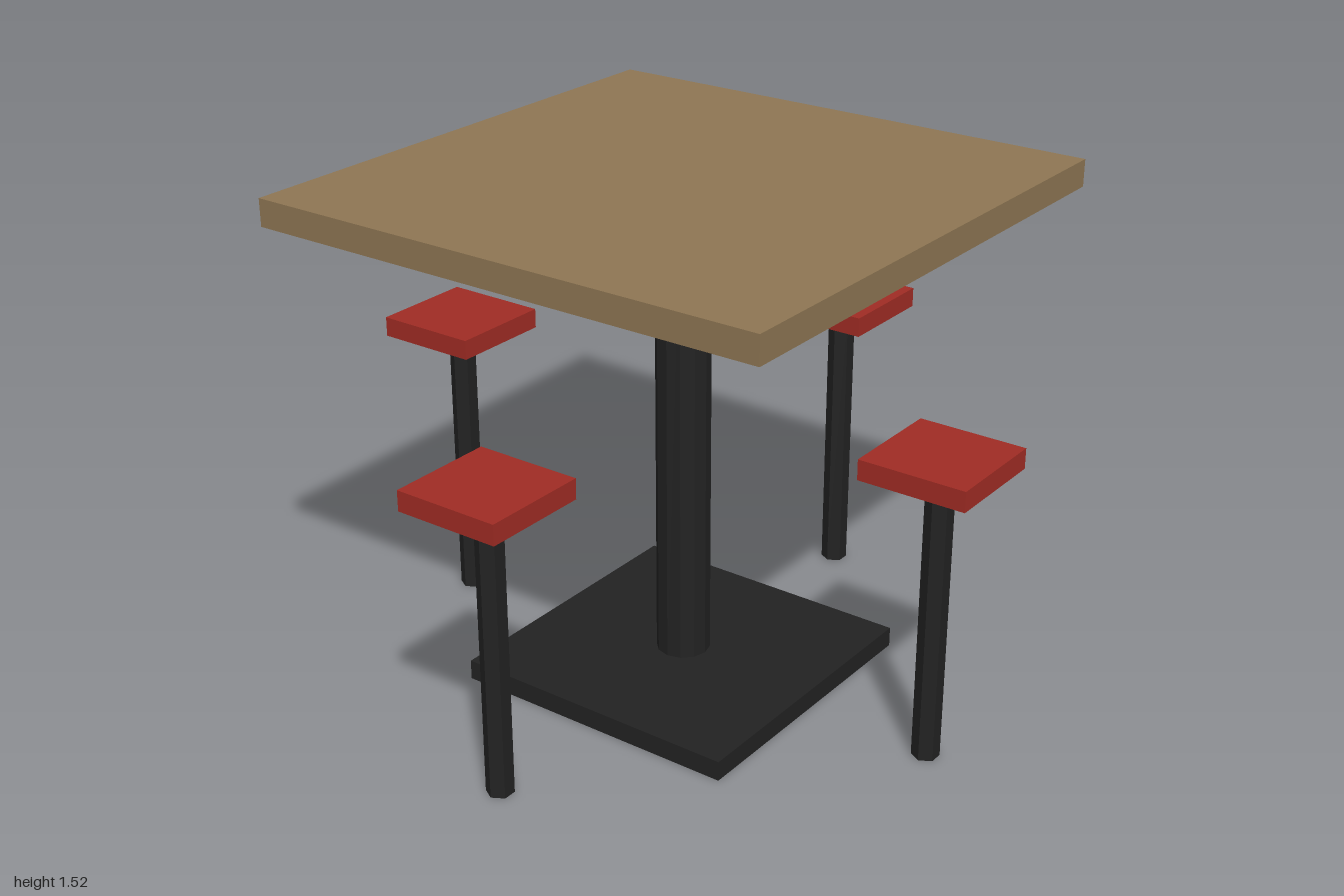
import * as THREE from 'three';

const mat = (name, color, flatShading = false) => {
  const m = new THREE.MeshStandardMaterial({ color, flatShading });
  m.name = name;
  return m;
};

export function createModel() {
  const wood = mat('wood', 0x8e7653);
  const red = mat('seat red', 0xa02c24);
  const metal = mat('black metal', 0x222222, true);
  const model = new THREE.Group();
  model.name = 'tableWithStools';

  // Adds a mesh whose underside sits at height y
  const add = (parent, name, geometry, material, height, y) => {
    const mesh = new THREE.Mesh(geometry, material);
    mesh.name = name;
    mesh.position.y = y + height / 2;
    parent.add(mesh);
  };
  const slab = (parent, name, width, height, y, material) =>
    add(parent, name, new THREE.BoxGeometry(width, height, width), material, height, y);
  const post = (parent, name, radius, height, sides) =>
    add(parent, name, new THREE.CylinderGeometry(radius, radius, height, sides), metal, height, 0);

  // Table: square top on a faceted column with a flat foot
  slab(model, 'tableTop', 1.6, 0.08, 1.44, wood);
  post(model, 'column', 0.08, 1.44, 12);
  slab(model, 'base', 0.9, 0.06, 0, metal);

  // One stool on each side; the hexagonal posts all share one orientation
  const stools = { leftStool: [1, 0], rightStool: [-1, 0], frontStool: [0, 1], backStool: [0, -1] };
  for (const [name, [x, z]] of Object.entries(stools)) {
    const stool = new THREE.Group();
    stool.name = name;
    stool.position.set(x * 0.84, 0, z * 0.84);
    post(stool, 'stoolPost', 0.04, 0.87, 6);
    slab(stool, 'seat', 0.32, 0.06, 0.87, red);
    model.add(stool);
  }
  return model;
}
